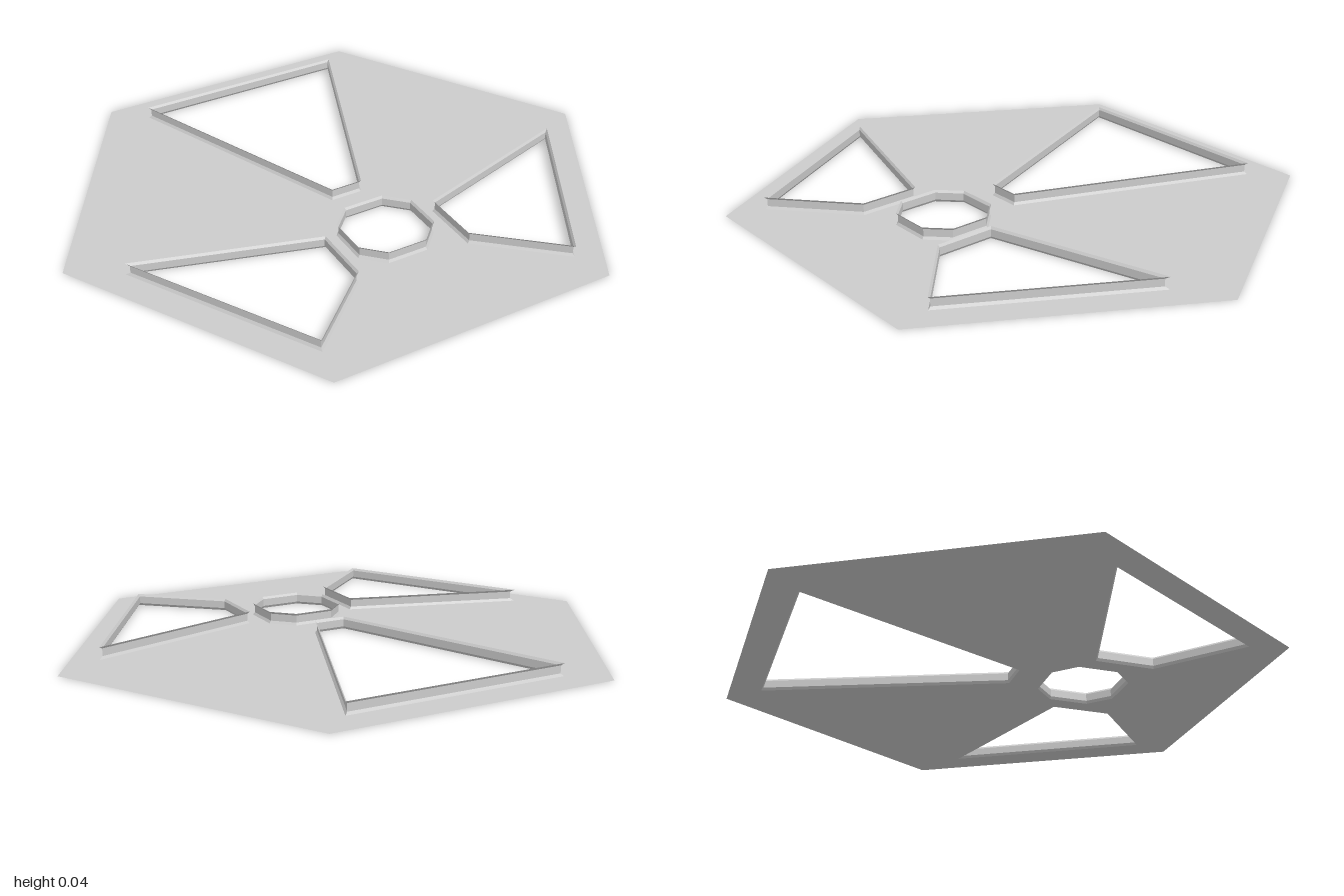
import * as THREE from 'three';

const material = new THREE.MeshStandardMaterial({ color: 0xcccccc, flatShading: true, side: THREE.DoubleSide });

// Outlines as [x, z] corners
const mirror = (pts) => pts.map(([x, z]) => [-x, z]).reverse();
const hexagon = [[1, 0], [0.5, -0.866], [-0.5, -0.866], [-1, 0], [-0.5, 0.864], [0.5, 0.864]];
const rearWindow = [[0.39, -0.757], [-0.39, -0.757], [-0.057, 0.067], [0.057, 0.067]];
const leftWindow = [[0.828, 0.105], [0.207, 0.29], [0.207, 0.503], [0.465, 0.733]];
const hub = [[0.073, 0.18], [-0.073, 0.18], [-0.145, 0.252], [-0.145, 0.394],
  [-0.073, 0.466], [0.073, 0.466], [0.145, 0.394], [0.145, 0.252]];

// Moves every edge of a convex outline inwards by d, with mitred corners
function inset(pts, d) {
  const n = pts.length;
  const v = pts.map(([x, z]) => new THREE.Vector2(x, z));
  const c = v.reduce((s, p) => s.add(p), new THREE.Vector2()).divideScalar(n);
  const normal = (a, b) => {
    const m = new THREE.Vector2(-(b.y - a.y), b.x - a.x).normalize();
    return m.dot(c.clone().sub(a)) < 0 ? m.negate() : m;
  };
  return v.map((p, i) => {
    const n1 = normal(v[(i + n - 1) % n], p);
    const n2 = normal(p, v[(i + 1) % n]);
    const m = n1.clone().add(n2).multiplyScalar(d / (1 + n1.dot(n2)));
    return [p.x + m.x, p.y + m.y];
  });
}

// Thin upright rim round an opening, flared at foot and lip
function rim(name, outline) {
  const profile = [[0, 0], [0.006, 0.009], [0.006, 0.035], [0, 0.043]];
  const rings = profile.map(([d, y]) => inset(outline, d).map(([x, z]) => [x, y, z]));
  const positions = [];
  const n = outline.length;
  for (let r = 0; r < rings.length - 1; r++) {
    for (let i = 0; i < n; i++) {
      const j = (i + 1) % n;
      const [a, b, c, d] = [rings[r][i], rings[r][j], rings[r + 1][j], rings[r + 1][i]];
      positions.push(...a, ...b, ...c, ...a, ...c, ...d);
    }
  }
  const geometry = new THREE.BufferGeometry();
  geometry.setAttribute('position', new THREE.Float32BufferAttribute(positions, 3));
  geometry.computeVertexNormals();
  const mesh = new THREE.Mesh(geometry, material);
  mesh.name = name;
  return mesh;
}

export function createModel() {
  const group = new THREE.Group();
  group.name = 'hexagonalPanel';
  const openings = {
    rearWindowRim: rearWindow,
    leftWindowRim: leftWindow,
    rightWindowRim: mirror(leftWindow),
    hubRim: hub,
  };

  // Sheet plate with the four openings cut out
  const toPoints = (pts) => pts.map(([x, z]) => new THREE.Vector2(x, -z));
  const shape = new THREE.Shape(toPoints(hexagon));
  for (const outline of Object.values(openings)) shape.holes.push(new THREE.Path(toPoints(outline)));
  const plate = new THREE.Mesh(new THREE.ShapeGeometry(shape).rotateX(-Math.PI / 2), material);
  plate.name = 'plate';
  group.add(plate);

  // Raised rims
  for (const [name, outline] of Object.entries(openings)) group.add(rim(name, outline));
  return group;
}
